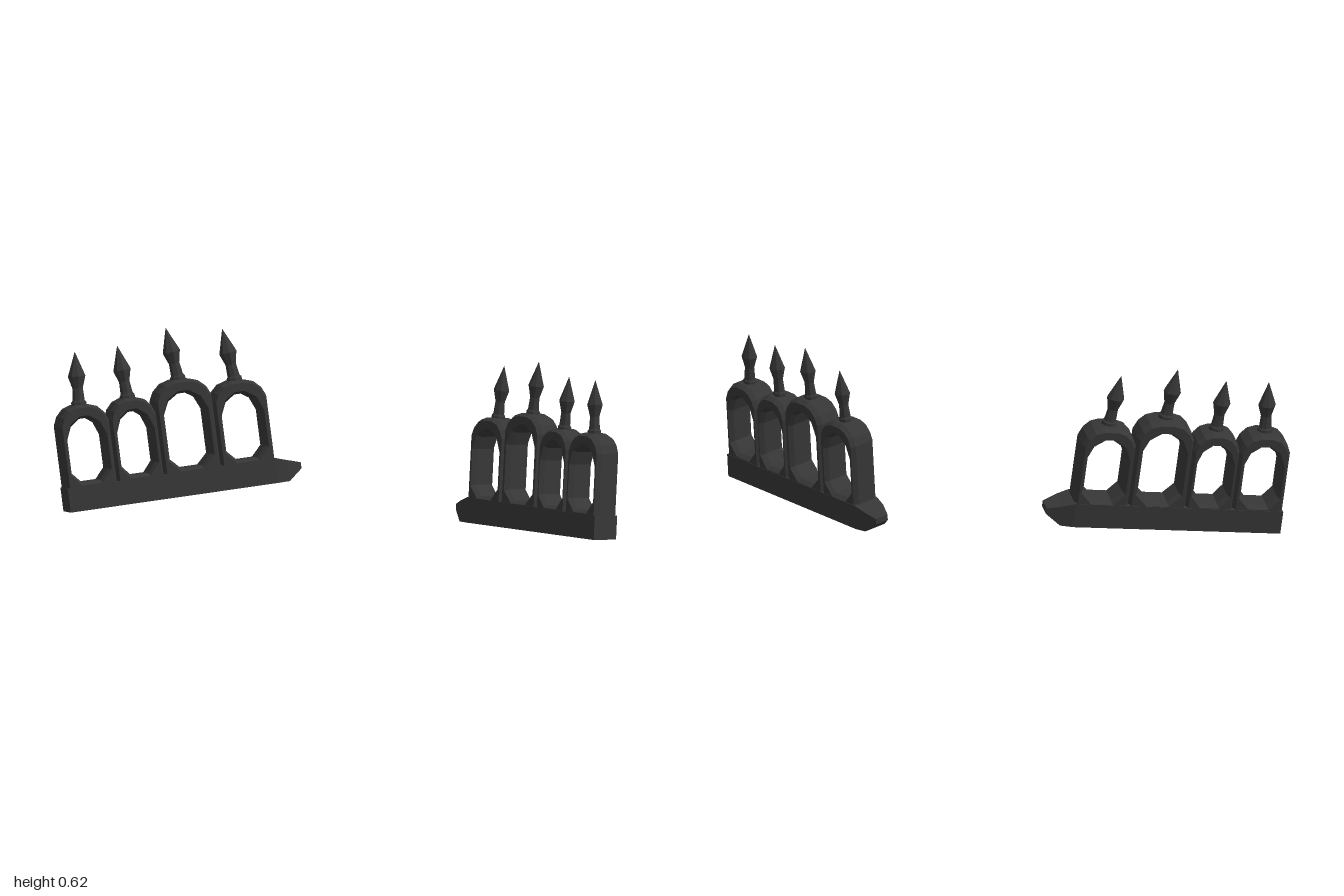
import * as THREE from 'three';

const iron = new THREE.MeshStandardMaterial({ color: 0x363636 });
iron.name = 'dark iron';

const DEPTH = 0.12; // thickness of a railing, from back (0) to front

// Arches from the outer end inwards: start, end, top height, spike lean
const ARCHES = [
  [0.0, 0.173, 0.35, 0.05],
  [0.173, 0.334, 0.35, -0.07],
  [0.334, 0.53, 0.387, -0.11],
  [0.53, 0.715, 0.357, -0.11],
];

// Plinth sections along its length: s, bottom, top, back, front
const PLINTH = [
  [0, 0, 0.08, 0, DEPTH],
  [0.712, 0, 0.085, 0, DEPTH],
  [0.755, 0, 0.07, 0.01, 0.112],
  [0.805, 0.035, 0.055, 0.023, 0.086],
];

function faceted(geometry) {
  const g = geometry.index ? geometry.toNonIndexed() : geometry;
  g.computeVertexNormals();
  return g;
}

function part(geometry, name) {
  const mesh = new THREE.Mesh(geometry, iron);
  mesh.name = name;
  return mesh;
}

const points = (list) => list.map(([x, y]) => new THREE.Vector2(x, y));

// Half outline mirrored into a closed loop, running bottom to top on the right
function symmetric(half) {
  const left = half.filter(([x]) => x > 0).map(([x, y]) => [-x, y]).reverse();
  return points([...half, ...left]);
}

// Chamfered arch with a faceted window through it
function archGeometry(width, top) {
  const w = width / 2;
  const shape = new THREE.Shape(symmetric([
    [w, 0.045], [w, top - 0.062], [w * 0.86, top - 0.033],
    [w * 0.6, top - 0.01], [w * 0.25, top],
  ]));
  const hw = w * 0.72;
  const sill = 0.093;
  const head = top - 0.045;
  shape.holes.push(new THREE.Path(symmetric([
    [hw * 0.5, sill], [hw, sill + 0.035], [hw, head - 0.065],
    [hw * 0.72, head - 0.022], [hw * 0.22, head],
  ]).reverse()));
  const bevel = 0.02;
  const g = new THREE.ExtrudeGeometry(shape, {
    depth: DEPTH - 0.004 - 2 * bevel, bevelThickness: bevel,
    bevelSize: 0.009, bevelOffset: -0.009, bevelSegments: 1,
  });
  g.translate(0, 0, bevel + 0.002);
  return g;
}

// Collar, waisted neck and pointed head
function spikeGeometry() {
  const profile = points([
    [0, -0.012], [0.026, -0.012], [0.026, 0.008], [0.021, 0.014],
    [0.018, 0.055], [0.03, 0.095], [0.0005, 0.176],
  ]);
  return faceted(new THREE.LatheGeometry(profile, 8));
}

// Long plinth that narrows into a blunt tip at its inner end
function plinthGeometry(side) {
  const n = PLINTH.length - 1;
  const g = new THREE.BoxGeometry(1, 1, 1, n, 1, 1);
  const p = g.attributes.position;
  for (let i = 0; i < p.count; i++) {
    const k = Math.round((p.getX(i) + 0.5) * n);
    const [s, low, high, back, front] = PLINTH[side > 0 ? k : n - k];
    p.setXYZ(i, side * s, p.getY(i) > 0 ? high : low, p.getZ(i) > 0 ? front : back);
  }
  return faceted(g);
}

// One railing; side is +1 when its inner end points to local +x
function railing(name, side, origin, along, up, scale) {
  const group = new THREE.Group();
  group.name = name;
  group.add(part(plinthGeometry(side), 'plinth'));
  ARCHES.forEach(([start, end, top, lean], i) => {
    const centre = side * (start + end) / 2;
    const arch = part(archGeometry(end - start, top), `arch${i + 1}`);
    arch.position.x = centre;
    const spike = part(spikeGeometry(), `spike${i + 1}`);
    spike.position.set(centre, top, DEPTH / 2);
    spike.rotation.z = -side * lean;
    group.add(arch, spike);
  });
  const x = new THREE.Vector3(...along).normalize();
  const z = x.clone().cross(new THREE.Vector3(...up)).normalize();
  const y = z.clone().cross(x);
  group.quaternion.setFromRotationMatrix(new THREE.Matrix4().makeBasis(x, y, z));
  group.position.set(...origin);
  group.scale.set(...scale);
  return group;
}

export function createModel() {
  const model = new THREE.Group();
  model.name = 'spikedRailings';
  model.add(
    railing('rightRailing', 1, [-0.95, 0.02, 0.145],
      [0.855, 0.1, -0.51], [-0.14, 0.98, -0.08], [1, 1, 1]),
    railing('leftRailing', -1, [0.985, 0.035, 0.137],
      [0.855, 0.05, 0.51], [0.01, 0.99, -0.12], [0.91, 1, 0.83]),
  );
  return model;
}
